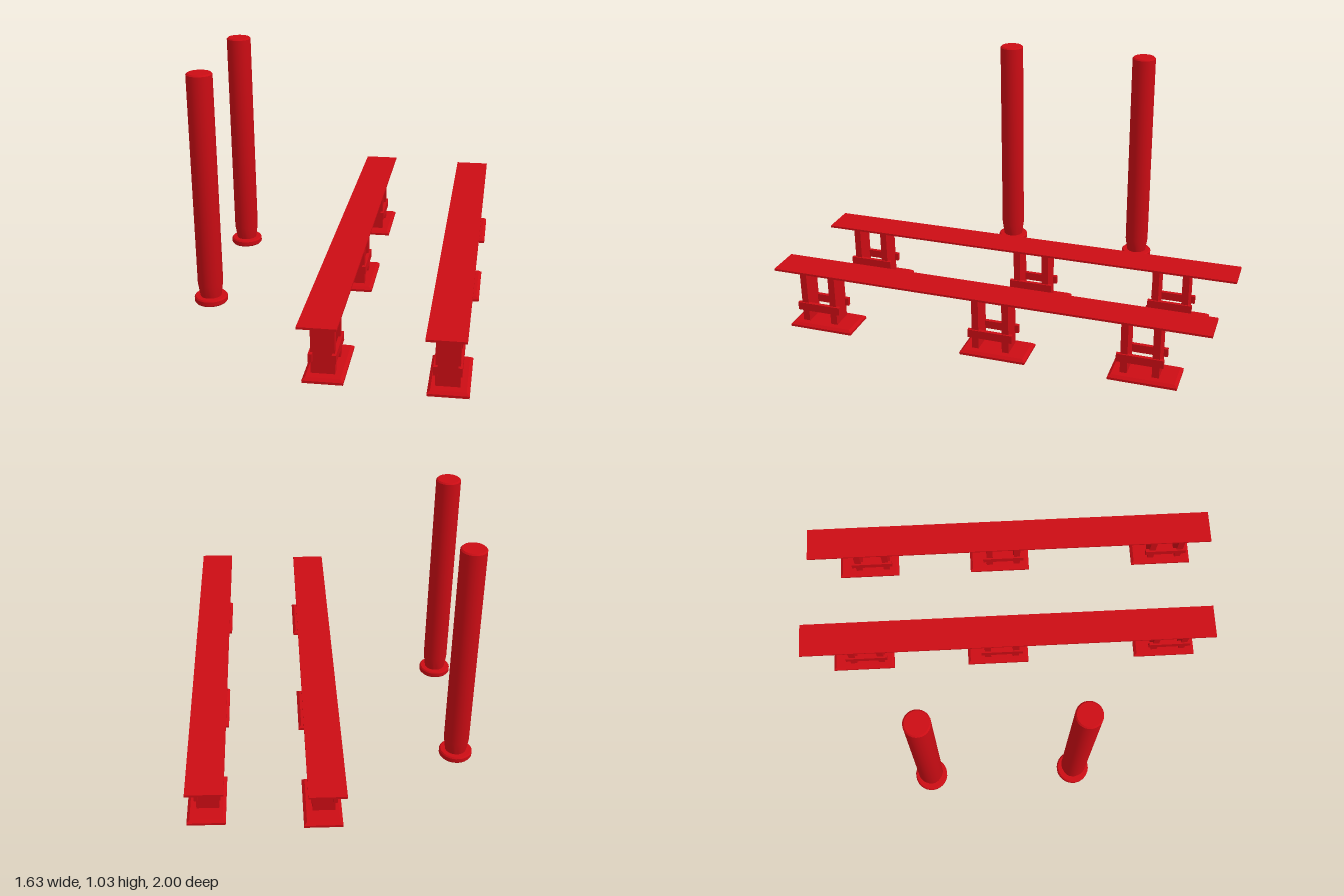
import * as THREE from 'three';
import { toCreasedNormals } from 'three/addons/utils/BufferGeometryUtils.js';

const red = new THREE.MeshStandardMaterial({ color: 0xcc0c14 });

function part(name, geometry, x, y, z) {
  const mesh = new THREE.Mesh(geometry, red);
  mesh.name = name;
  mesh.position.set(x, y, z);
  return mesh;
}

// Foot plate with a bevelled upper edge, standing on y = 0
function footPlateGeometry(w, h, d, inset) {
  const box = new THREE.BoxGeometry(w, h, d, 1, 2, 1).translate(0, h / 2, 0);
  const p = box.attributes.position;
  for (let i = 0; i < p.count; i++) {
    if (p.getY(i) > h * 0.9) {
      p.setX(i, p.getX(i) - Math.sign(p.getX(i)) * inset);
      p.setZ(i, p.getZ(i) - Math.sign(p.getZ(i)) * inset);
    }
  }
  const flat = box.toNonIndexed();
  flat.computeVertexNormals();
  return flat;
}

const footPlate = footPlateGeometry(0.16, 0.02, 0.29, 0.012);
const legSlab = new THREE.BoxGeometry(0.095, 0.245, 0.03);
const sideRail = new THREE.BoxGeometry(0.016, 0.036, 0.198);
const seatPlank = new THREE.BoxGeometry(0.152, 0.009, 1.927);

// Support: foot plate, two upright slabs and a rail along each side
function createSupport() {
  const g = new THREE.Group();
  g.name = 'benchSupport';
  g.add(part('footPlate', footPlate, 0.007, 0, 0));
  for (const s of [-1, 1]) {
    g.add(part('legSlab', legSlab, 0.002, 0.1415, 0.018 + s * 0.067));
    g.add(part('sideRail', sideRail, 0.002 + s * 0.0465, 0.091, 0.018));
  }
  return g;
}

// Bench: long thin plank on three unevenly spaced supports
function createBench(x, z) {
  const g = new THREE.Group();
  g.name = 'bench';
  g.add(part('seatPlank', seatPlank, 0, 0.266, 0));
  for (const along of [-0.692, -0.046, 0.755]) {
    const support = createSupport();
    support.position.z = along;
    g.add(support);
  }
  g.position.set(x, 0, z);
  g.rotation.y = THREE.MathUtils.degToRad(20);
  return g;
}

// Pillar: round collar with a recess below, tapered neck, long shaft
function pillarGeometry() {
  const profile = [
    [0, 0.03], [0.044, 0.03], [0.044, 0], [0.067, 0], [0.072, 0.006],
    [0.072, 0.024], [0.067, 0.03], [0.046, 0.03], [0.055, 0.09],
    [0.055, 1.024], [0.049, 1.03], [0, 1.03],
  ].map(([r, y]) => new THREE.Vector2(r, y));
  return toCreasedNormals(new THREE.LatheGeometry(profile, 28), 0.5);
}

export function createModel() {
  const model = new THREE.Group();
  model.name = 'benchesAndPillars';
  model.add(createBench(-0.05, 0.065), createBench(0.41, -0.07));
  const pillar = pillarGeometry();
  model.add(part('pillar', pillar, -0.745, 0, -0.09));
  model.add(part('pillar', pillar, -0.52, 0, 0.525));
  return model;
}
